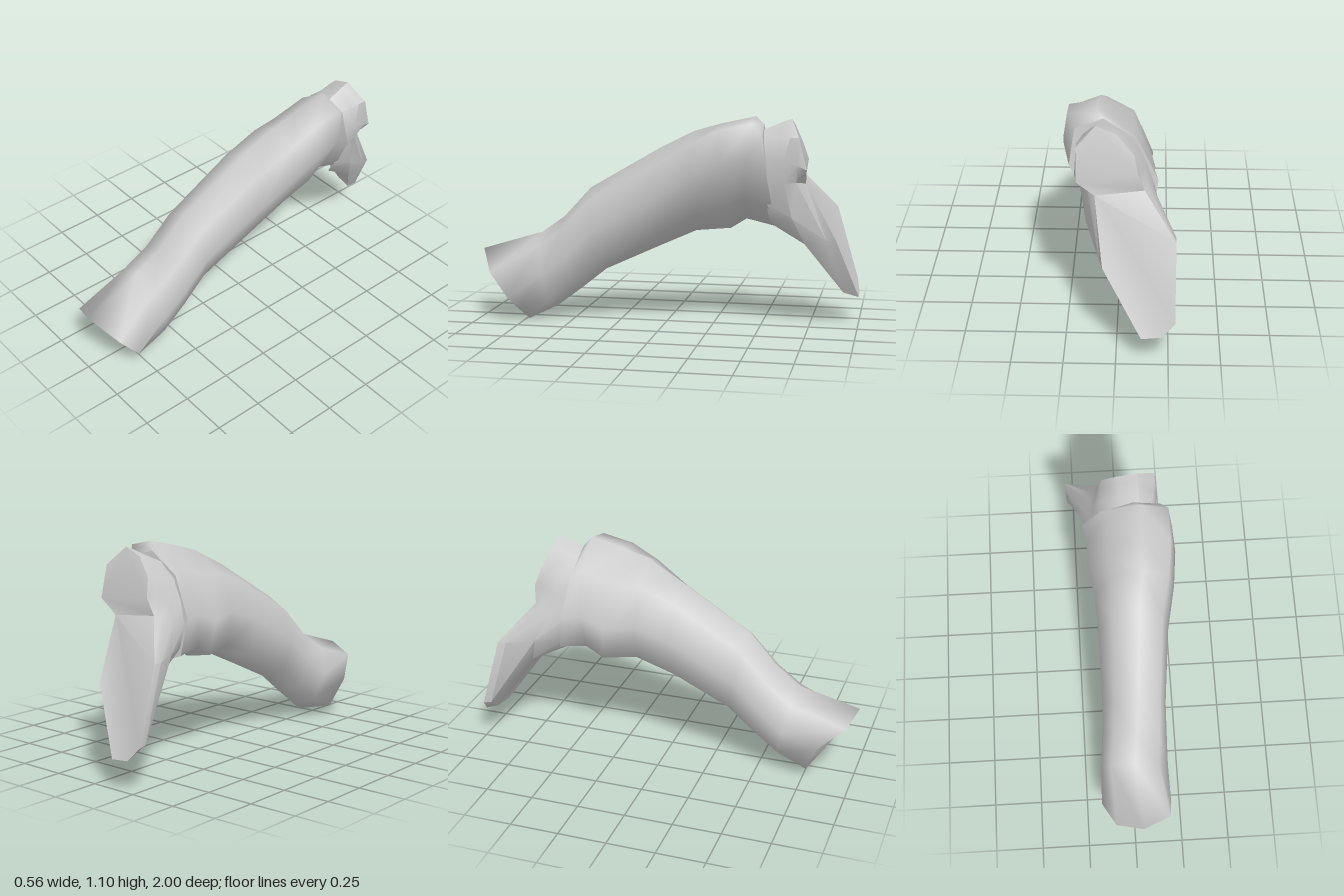
import * as THREE from 'three';
import { toCreasedNormals } from 'three/addons/utils/BufferGeometryUtils.js';

// Skin between rings (clockwise seen from the front, running front to back),
// plus polygons on the last ring and an optional closed first ring.
function loft(rings, backPolys = [], closeFront = false) {
  const n = rings[0].length, index = [];
  for (let i = 0; i < rings.length - 1; i++) {
    for (let j = 0; j < n; j++) {
      const a = i * n + j, b = i * n + (j + 1) % n;
      index.push(a, b, a + n, b, b + n, a + n);
    }
  }
  const last = (rings.length - 1) * n;
  for (const p of backPolys) {
    for (let k = 1; k < p.length - 1; k++) index.push(last + p[0], last + p[k], last + p[k + 1]);
  }
  if (closeFront) for (let k = 1; k < n - 1; k++) index.push(0, k + 1, k);
  const g = new THREE.BufferGeometry();
  g.setAttribute('position', new THREE.Float32BufferAttribute(rings.flat(2), 3));
  g.setIndex(index);
  g.computeVertexNormals();
  return g;
}

// Tilted oval section from its top and bottom points in z and y;
// skew leans the top sideways, roll lifts the +x side
function section([zt, yt, zb, yb, left, right, skew, roll], sides = 8) {
  const ring = [];
  for (let j = 0; j < sides; j++) {
    const a = (j / sides) * Math.PI * 2, s = Math.sin(a), c = Math.cos(a);
    ring.push([
      (left + right) / 2 + s * (right - left) / 2 + skew * c,
      (yt + yb) / 2 + c * (yt - yb) / 2 + roll * s,
      (zt + zb) / 2 + c * (zt - zb) / 2,
    ]);
  }
  return ring;
}

export function createModel() {
  const group = new THREE.Group();
  const material = new THREE.MeshStandardMaterial({ color: 0xcccccc });
  const add = (name, geometry) => {
    const mesh = new THREE.Mesh(geometry, material);
    mesh.name = name;
    group.add(mesh);
  };

  // Long limb: irregular front end, then ovals up to the rear rim
  const frontEnd = [
    [0.04, 0.365, 1], [0.185, 0.26, 0.92], [0.2, 0.13, 0.82], [0.145, 0.065, 0.78],
    [0.085, 0, 0.735], [-0.11, 0.045, 0.765], [-0.17, 0.2, 0.82], [-0.1, 0.31, 0.96],
  ];
  // top z, top y, bottom z, bottom y, min x, max x, skew, roll
  const sections = [
    [0.68, 0.46, 0.6, 0.06, -0.165, 0.19, 0, 0],
    [0.55, 0.55, 0.46, 0.165, -0.15, 0.19, 0.01, 0],
    [0.4, 0.71, 0.33, 0.27, -0.14, 0.19, 0.02, 0],
    [0.02, 0.93, 0.05, 0.4, -0.14, 0.22, 0.03, 0],
    [-0.16, 1.02, -0.16, 0.495, -0.15, 0.26, 0.04, 0.03],
    [-0.3, 1.06, -0.34, 0.51, -0.18, 0.275, 0.05, 0.08],
    [-0.48, 1.1, -0.42, 0.56, -0.175, 0.265, 0.06, 0.07],
    [-0.515, 1.06, -0.58, 0.52, -0.195, 0.235, 0.05, 0.04],
  ].map((s) => section(s));
  add('limb', loft([frontEnd, ...sections], [], true));

  // Flat closure of the rear rim
  const rim = sections[sections.length - 1];
  add('limbRearFace', loft([rim], [[0, 1, 2, 3, 4, 5, 6, 7]]));

  // Rear joint: a collar flaring into a short stub and a long hanging blade
  const collar = [
    [0.1, 1.02], [0.16, 0.98], [0.18, 0.9], [0.18, 0.78], [0.15, 0.66], [0.1, 0.57], [0.02, 0.54],
    [-0.08, 0.54], [-0.15, 0.61], [-0.17, 0.74], [-0.14, 0.84], [-0.09, 0.93], [0, 1],
  ].map(([x, y]) => [x, y, -0.49 - 0.13 * (1.04 - y)]);
  const shoulder = [
    [0.1, 1.05, -0.56], [0.18, 0.99, -0.6], [0.2, 0.88, -0.63], [0.18, 0.77, -0.63], [0.15, 0.59, -0.67],
    [0.08, 0.45, -0.73], [-0.02, 0.43, -0.76], [-0.15, 0.46, -0.74], [-0.22, 0.61, -0.69],
    [-0.17, 0.75, -0.62], [-0.13, 0.85, -0.61], [-0.1, 0.94, -0.59], [0, 1.03, -0.57],
  ];
  const bladeFront = [
    [0.1, 1.075, -0.62], [0.19, 1, -0.66], [0.2, 0.86, -0.7], [0.14, 0.77, -0.69], [0.08, 0.47, -0.84],
    [-0.1, 0.17, -0.92], [-0.2, 0.17, -0.94], [-0.28, 0.23, -0.94], [-0.28, 0.6, -0.83],
    [-0.15, 0.78, -0.68], [-0.11, 0.87, -0.68], [-0.09, 0.95, -0.66], [0, 1.045, -0.63],
  ];
  const back = [
    [0.1, 1.09, -0.66], [0.19, 1, -0.705], [0.19, 0.84, -0.745], [0.105, 0.765, -0.735], [0.065, 0.465, -0.89],
    [-0.12, 0.145, -1], [-0.22, 0.155, -1], [-0.28, 0.22, -0.985], [-0.28, 0.6, -0.875],
    [-0.13, 0.785, -0.715], [-0.1, 0.87, -0.73], [-0.08, 0.96, -0.7], [0, 1.05, -0.67],
  ];
  // stub end, ledge under it, flat of the blade
  const faces = [[0, 1, 2, 10, 11, 12], [2, 3, 9, 10], [3, 4, 5, 6, 7, 8, 9]];
  add('rearBlade', toCreasedNormals(loft([collar, shoulder, bladeFront, back], faces), 0.7));

  return group;
}
